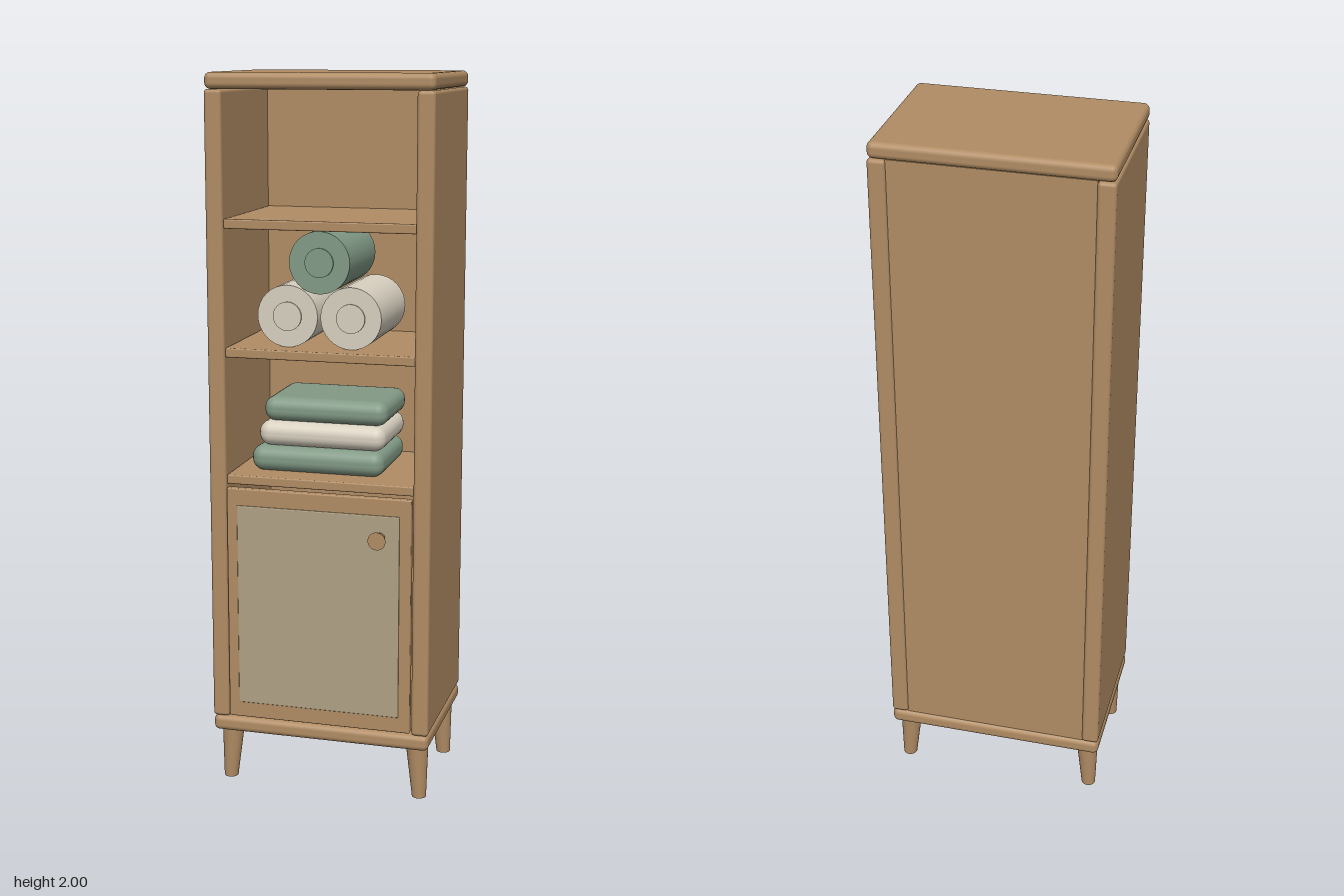
import * as THREE from 'three';
import { RoundedBoxGeometry } from 'three/addons/geometries/RoundedBoxGeometry.js';

export function createModel() {
  const model = new THREE.Group();
  model.name = 'towelCabinet';

  const material = (name, color) => {
    const m = new THREE.MeshStandardMaterial({ color });
    m.name = name;
    return m;
  };
  const wood = material('wood', 0xb08c64);
  const glass = material('frostedPanel', 0xb0a184);
  const green = material('sageCloth', 0x829a86);
  const cream = material('creamCloth', 0xd8d0c0);

  const add = (name, geometry, mat, x = 0, y = 0, z = 0, parent = model) => {
    const mesh = new THREE.Mesh(geometry, mat);
    mesh.name = name;
    mesh.position.set(x, y, z);
    parent.add(mesh);
    return mesh;
  };
  // Box given by its limits on each axis, with optional rounded edges
  const block = (name, mat, [x0, x1], [y0, y1], [z0, z1], r = 0) => {
    const size = [x1 - x0, y1 - y0, z1 - z0];
    const geometry = r ? new RoundedBoxGeometry(...size, 3, r) : new THREE.BoxGeometry(...size);
    return add(name, geometry, mat, (x0 + x1) / 2, (y0 + y1) / 2, (z0 + z1) / 2);
  };

  // Carcass
  const depth = [-0.24, 0.2];
  block('topBoard', wood, [-0.313, 0.313], [1.956, 2], depth, 0.016);
  block('baseBoard', wood, [-0.313, 0.313], [0.155, 0.2], depth, 0.016);
  block('rightSide', wood, [-0.313, -0.265], [0.2, 1.956], depth, 0.01);
  block('leftSide', wood, [0.265, 0.313], [0.2, 1.956], depth, 0.01);
  block('backPanel', wood, [-0.266, 0.266], [0.199, 1.957], [-0.232, -0.21]);

  // Shelves
  for (const top of [0.91, 1.265, 1.615]) {
    block('shelf', wood, [-0.265, 0.265], [top - 0.026, top], [-0.212, 0.19], 0.004);
  }

  // Door with inset panel and flared knob
  block('door', wood, [-0.262, 0.262], [0.207, 0.876], [0.182, 0.204], 0.004);
  block('doorPanel', glass, [-0.232, 0.23], [0.252, 0.828], [0.2, 0.208], 0.003);
  const knob = add('doorKnob', new THREE.CylinderGeometry(0.025, 0.015, 0.036, 24), wood, 0.175, 0.766, 0.222);
  knob.rotation.x = Math.PI / 2;

  // Tapered legs, leaning slightly outward
  const legHeight = 0.16;
  for (const sx of [-1, 1]) {
    for (const [z, lean] of [[0.142, 0.004], [-0.181, -0.004]]) {
      const geometry = new THREE.CylinderGeometry(0.032, 0.02, legHeight, 24);
      const p = geometry.attributes.position;
      for (let i = 0; i < p.count; i++) {
        const t = 0.5 - p.getY(i) / legHeight;
        p.setX(i, p.getX(i) + sx * 0.008 * t);
        p.setZ(i, p.getZ(i) + lean * t);
      }
      geometry.computeVertexNormals();
      add('leg', geometry, wood, sx * 0.271, legHeight / 2, z);
    }
  }

  // Folded towels
  block('foldedTowel', green, [-0.215, 0.163], [0.91, 0.982], [-0.14, 0.135], 0.032);
  block('foldedTowel', cream, [-0.195, 0.166], [0.982, 1.052], [-0.135, 0.13], 0.032);
  block('foldedTowel', green, [-0.18, 0.17], [1.052, 1.12], [-0.13, 0.125], 0.03);

  // Rolled towels, with a raised core at each end
  for (const [x, y, mat] of [[-0.105, 1.35, cream], [0.073, 1.35, cream], [-0.015, 1.498, green]]) {
    const roll = new THREE.Group();
    roll.name = 'rolledTowel';
    roll.position.set(x, y, -0.01);
    roll.rotation.x = Math.PI / 2;
    add('roll', new THREE.CylinderGeometry(0.085, 0.085, 0.28, 32), mat, 0, 0, 0, roll);
    add('rollCore', new THREE.CylinderGeometry(0.04, 0.04, 0.29, 24), mat, 0, 0, 0, roll);
    model.add(roll);
  }

  return model;
}
